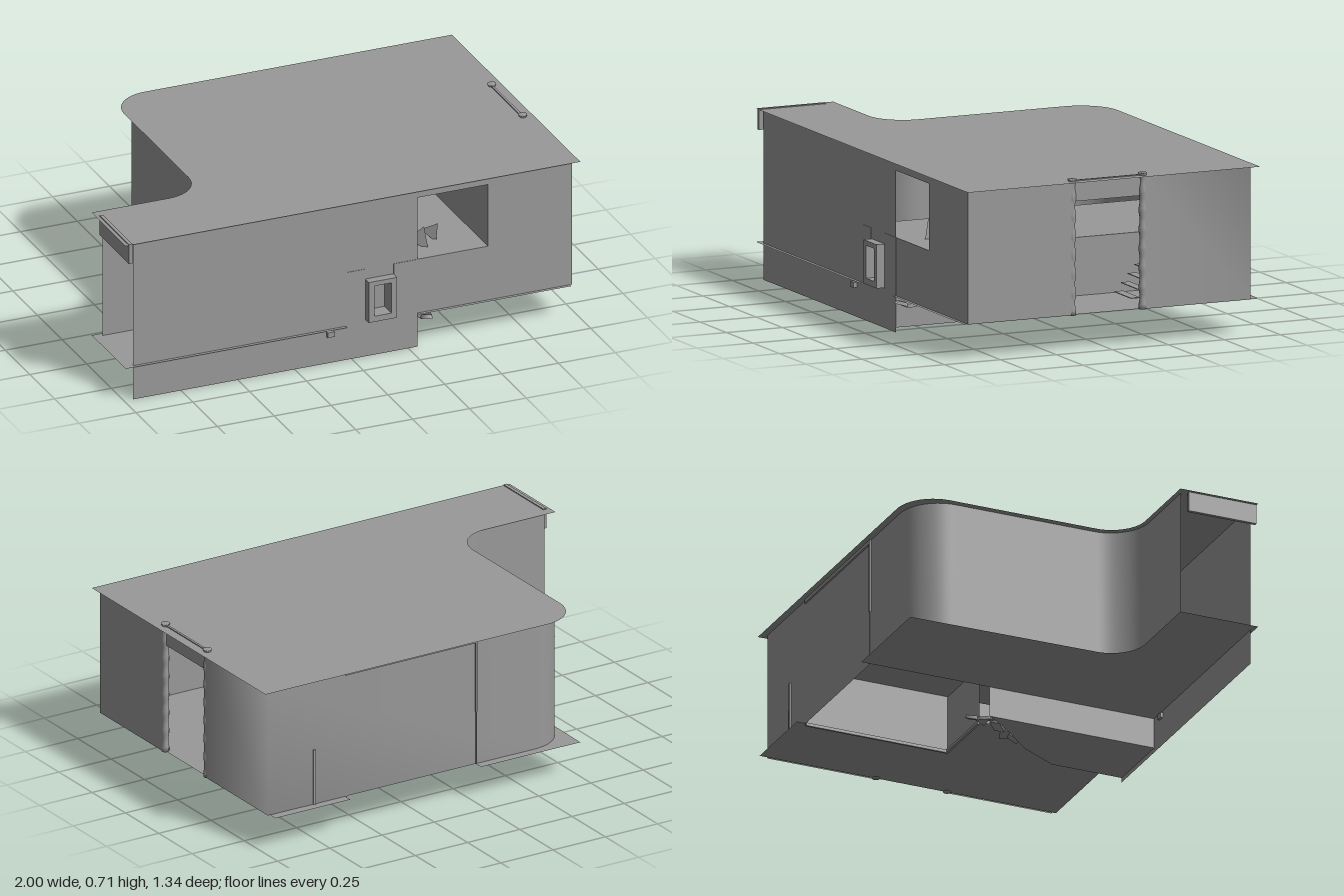
import * as THREE from 'three';

const FLOOR = 0.15, ROOF = 0.698, MID = 0.39;

export function createModel() {
  const group = new THREE.Group();
  const plaster = new THREE.MeshStandardMaterial({ color: 0x999999, side: THREE.DoubleSide });
  plaster.name = 'plain grey plaster';

  const add = (name, geometry) => {
    const mesh = new THREE.Mesh(geometry, plaster);
    mesh.name = name;
    group.add(mesh);
    return mesh;
  };
  // Box from its lower and upper corners
  const box = (name, [x0, y0, z0], [x1, y1, z1]) => {
    const mesh = add(name, new THREE.BoxGeometry(x1 - x0, y1 - y0, z1 - z0));
    mesh.position.set((x0 + x1) / 2, (y0 + y1) / 2, (z0 + z1) / 2);
    return mesh;
  };
  // Horizontal sheet from x, z corners
  const sheet = (name, pts, y) => {
    const shape = new THREE.Shape(pts.map(([x, z]) => new THREE.Vector2(x, z)));
    const mesh = add(name, new THREE.ShapeGeometry(shape).rotateX(Math.PI / 2));
    mesh.position.y = y;
    return mesh;
  };
  // Upright thin wall along x, z points, smooth or faceted
  const wall = (name, pts, y0, y1, smooth = false) => {
    const pos = [], index = [];
    pts.forEach(([x, z], i) => {
      pos.push(x, y0, z, x, y1, z);
      const a = i * 2;
      if (i) index.push(a, a - 2, a - 1, a, a - 1, a + 1);
    });
    let geo = new THREE.BufferGeometry();
    geo.setAttribute('position', new THREE.Float32BufferAttribute(pos, 3));
    geo.setIndex(index);
    if (!smooth) geo = geo.toNonIndexed();
    geo.computeVertexNormals();
    return add(name, geo);
  };
  const arc = (cx, cz, r, a0, a1, n = 14) => Array.from({ length: n + 1 }, (_, i) => {
    const a = (a0 + (a1 - a0) * i / n) * Math.PI / 180;
    return [cx + r * Math.cos(a), cz + r * Math.sin(a)];
  });

  // Roof sheet with rounded outer corner and swept inner corner
  const innerSweep = arc(-0.66, 0.15, 0.15, 0, 90);
  sheet('roof', [[1, 0.645], [1, -0.66], ...arc(-0.35, -0.5, 0.16, 270, 180),
    ...innerSweep, [-1, 0.3], [-1, 0.645]], ROOF);

  // Continuous smooth wall round the back and the wing
  wall('backWall', [[0.97, -0.16], [0.97, -0.63], ...arc(-0.31, -0.46, 0.17, 270, 180),
    ...arc(-0.65, 0.15, 0.17, 0, 90), [-0.96, 0.32]], FLOOR, ROOF, true);
  wall('sideWall', [[0.97, 0.63], [0.97, 0.16]], FLOOR, ROOF);

  // Front wall with the stepped base, wide window and small hatch
  const front = new THREE.Shape([[-0.96, 0], [0.29, 0], [0.29, FLOOR], [0.97, FLOOR],
    [0.97, ROOF], [-0.96, ROOF]].map(p => new THREE.Vector2(...p)));
  const rect = (x0, y0, x1, y1) => new THREE.Path([[x0, y0], [x0, y1], [x1, y1], [x1, y0]]
    .map(p => new THREE.Vector2(...p)));
  front.holes.push(rect(0.29, MID, 0.6, 0.665), rect(0.085, 0.19, 0.16, 0.325));
  add('frontWall', new THREE.ShapeGeometry(front)).position.z = 0.63;

  // Hatch frame and its recess
  const frame = new THREE.Shape([[0.06, 0.165], [0.185, 0.165], [0.185, 0.345], [0.06, 0.345]]
    .map(p => new THREE.Vector2(...p)));
  frame.holes.push(rect(0.085, 0.19, 0.16, 0.325));
  add('hatchFrame', new THREE.ExtrudeGeometry(frame, { depth: 0.07, bevelEnabled: false }))
    .position.z = 0.597;
  box('hatchBack', [0.06, 0.165, 0.592], [0.185, 0.345, 0.597]);
  box('hatchPanel', [-0.02, FLOOR, 0.624], [0.06, MID, 0.632]);
  box('hatchPanel', [0.185, FLOOR, 0.624], [0.29, MID, 0.632]);
  box('frontKnob', [-0.11, 0.12, 0.62], [-0.08, 0.142, 0.645]);

  // Floor in two parts either side of the opening
  sheet('floorRight', [[0.96, 0.645], [0.96, -0.67], [0.6, -0.67], [0.6, 0], [0.31, 0],
    [0.27, 0.12], [0.32, 0.25], [0.28, 0.4], [0.31, 0.52], [0.29, 0.645]], FLOOR);
  sheet('floorLeft', [[-0.025, 0.645], [-0.025, -0.67], [-0.5, -0.67], ...innerSweep,
    [-1, 0.3], [-1, 0.645]], FLOOR);

  // Sunken room with angled side
  const brink = [[0.29, 0.63], [0.29, 0.32], [0.2, 0.16], [0.05, 0], [-0.025, -0.1]];
  wall('sunkenWall', brink, 0.02, MID);
  wall('sunkenSide', [[-0.025, -0.1], [-0.025, 0.63]], 0.02, FLOOR);
  sheet('sunkenFloor', [...brink, [-0.025, 0.63]], 0.02);

  // Middle level and partitions beneath it
  sheet('middleFloor', [[-0.025, -0.63], [0.6, -0.63], [0.6, 0.63], [-0.025, 0.63]], MID);
  wall('partition', [[0.6, -0.63], [0.6, 0]], FLOOR, MID);
  wall('partition', [[0.6, 0], [0.29, 0]], FLOOR, MID);
  wall('partition', [[-0.025, -0.635], [-0.025, -0.1]], FLOOR, MID);
  wall('upperPartition', [[0.6, 0.63], [0.6, -0.01], [0.29, -0.01]], MID, ROOF);
  box('openingRim', [0.592, 0.137, -0.63], [0.602, FLOOR, 0]);
  box('openingRim', [0.29, 0.137, -0.01], [0.6, FLOOR, 0]);

  // Thin strips on the back wall
  box('backRail', [-0.03, 0.682, -0.637], [0.6, ROOF, -0.628]);
  box('backStrip', [-0.03, 0.38, -0.637], [-0.022, ROOF, -0.628]);
  box('backStrip', [0.745, FLOOR, -0.637], [0.755, MID, -0.628]);

  // Lintels over the two entrances
  box('wingLintel', [-0.985, 0.615, 0.345], [-0.97, 0.702, 0.645]);
  box('doorLintel', [0.95, 0.615, -0.16], [0.96, 0.702, 0.16]);

  // Ribbed door columns
  const profile = [[0, 0]];
  for (let i = 0; i <= 28; i++) profile.push([i % 4 < 2 ? 0.016 : 0.0125, i * 0.555 / 28]);
  profile.push([0.018, 0.556], [0.018, 0.561], [0, 0.561]);
  for (const z of [0.16, -0.155]) {
    const pts = profile.map(p => new THREE.Vector2(...p));
    add('doorColumn', new THREE.LatheGeometry(pts, 12)).position.set(0.957, FLOOR - 0.002, z);
  }

  // Open stair of thin treads
  for (let i = 0; i < 14; i++) {
    const y = 0.18 + i * 0.035, z = -0.14 - i * 0.03;
    box('stairTread', [0.72, y - 0.003, z - 0.04], [0.88, y, z]);
  }

  // Broken slabs hanging along the brink
  let seed = 7;
  const rnd = () => (seed = (seed * 16807) % 2147483647) / 2147483647;
  for (let i = 0; i < 20; i++) {
    const slab = add('brokenSlab', new THREE.CylinderGeometry(0.025 + 0.015 * rnd(), 0.035, 0.014, 3 + i % 3));
    const z = 0.63 - i * 0.036;
    slab.position.set((z > 0.1 ? 0.3 : 0.2) + 0.04 * rnd(), 0.135 - 0.02 * rnd(), z);
    slab.rotation.set(0.8 * (rnd() - 0.5), 6 * rnd(), 0.9 * (rnd() - 0.5));
  }
  // Fallen shards behind the window
  for (const [x, z, s] of [[0.36, 0.5, 0.06], [0.43, 0.46, 0.05]]) {
    const shard = add('shard', new THREE.TetrahedronGeometry(s));
    shard.position.set(x, MID + 0.03, z);
    shard.rotation.set(x * 3, z * 5, 0.4);
  }
  return group;
}
